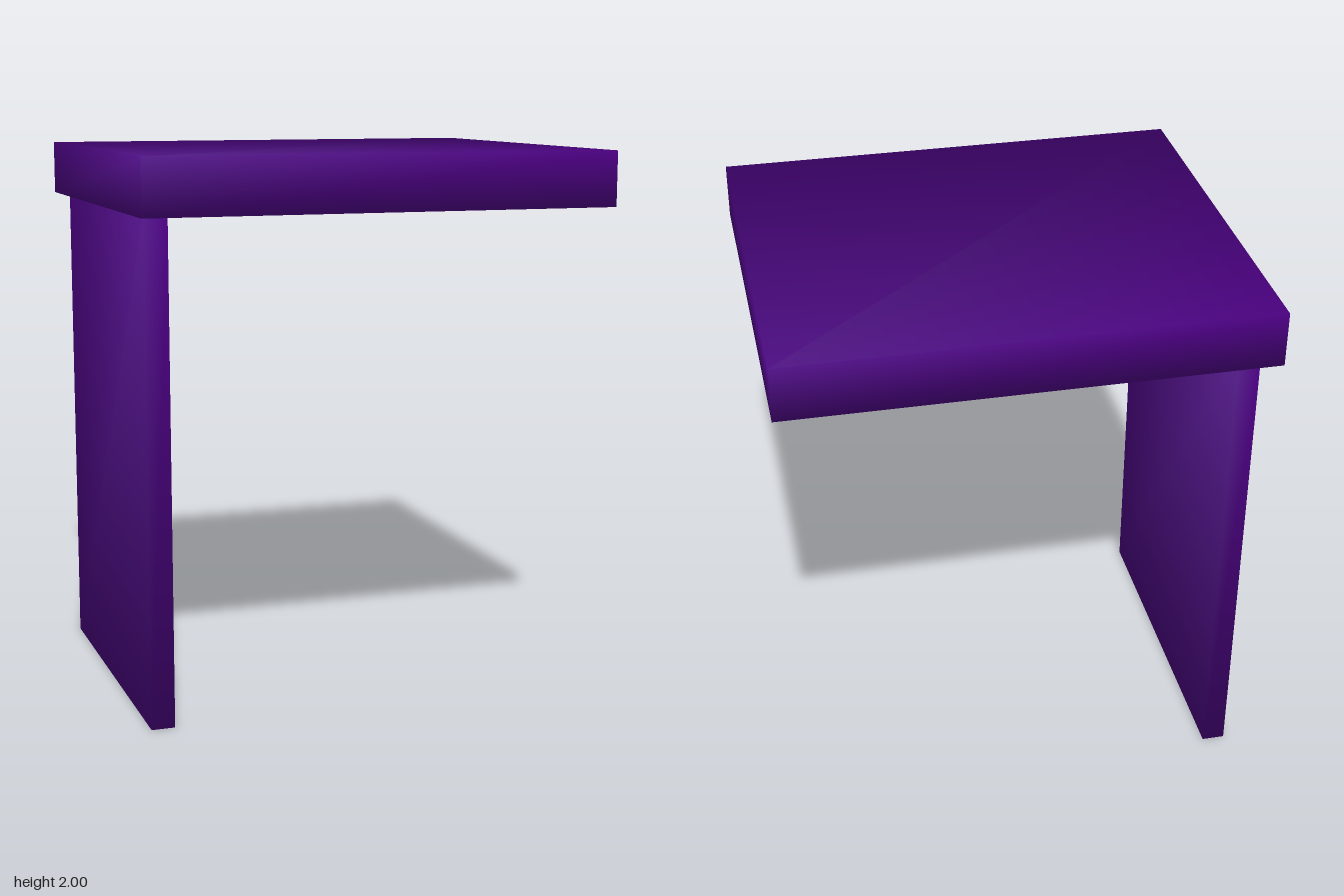
import * as THREE from 'three';

// Box between two corners, with soft normals shared by the faces at each corner
function softBox(name, min, max, material) {
  const size = max.map((v, i) => v - min[i]);
  const geometry = new THREE.BoxGeometry(...size);
  const { position, normal } = geometry.attributes;
  const n = new THREE.Vector3();
  for (let i = 0; i < position.count; i++) {
    n.set(Math.sign(position.getX(i)), Math.sign(position.getY(i)), Math.sign(position.getZ(i))).normalize();
    normal.setXYZ(i, n.x, n.y, n.z);
  }
  const mesh = new THREE.Mesh(geometry, material);
  mesh.name = name;
  mesh.position.set(...max.map((v, i) => (v + min[i]) / 2));
  return mesh;
}

export function createModel() {
  const group = new THREE.Group();
  group.name = 'sideTable';

  const indigo = new THREE.MeshStandardMaterial({ color: 0x4b0082 });
  indigo.name = 'indigo';

  // Thick slab on top, carried by one upright panel at the side
  group.add(softBox('tableTop', [-0.865, 1.8, -0.76], [0.865, 2, 0.76], indigo));
  group.add(softBox('sidePanel', [-0.83, 0, -0.63], [-0.745, 1.8, 0.63], indigo));

  return group;
}
